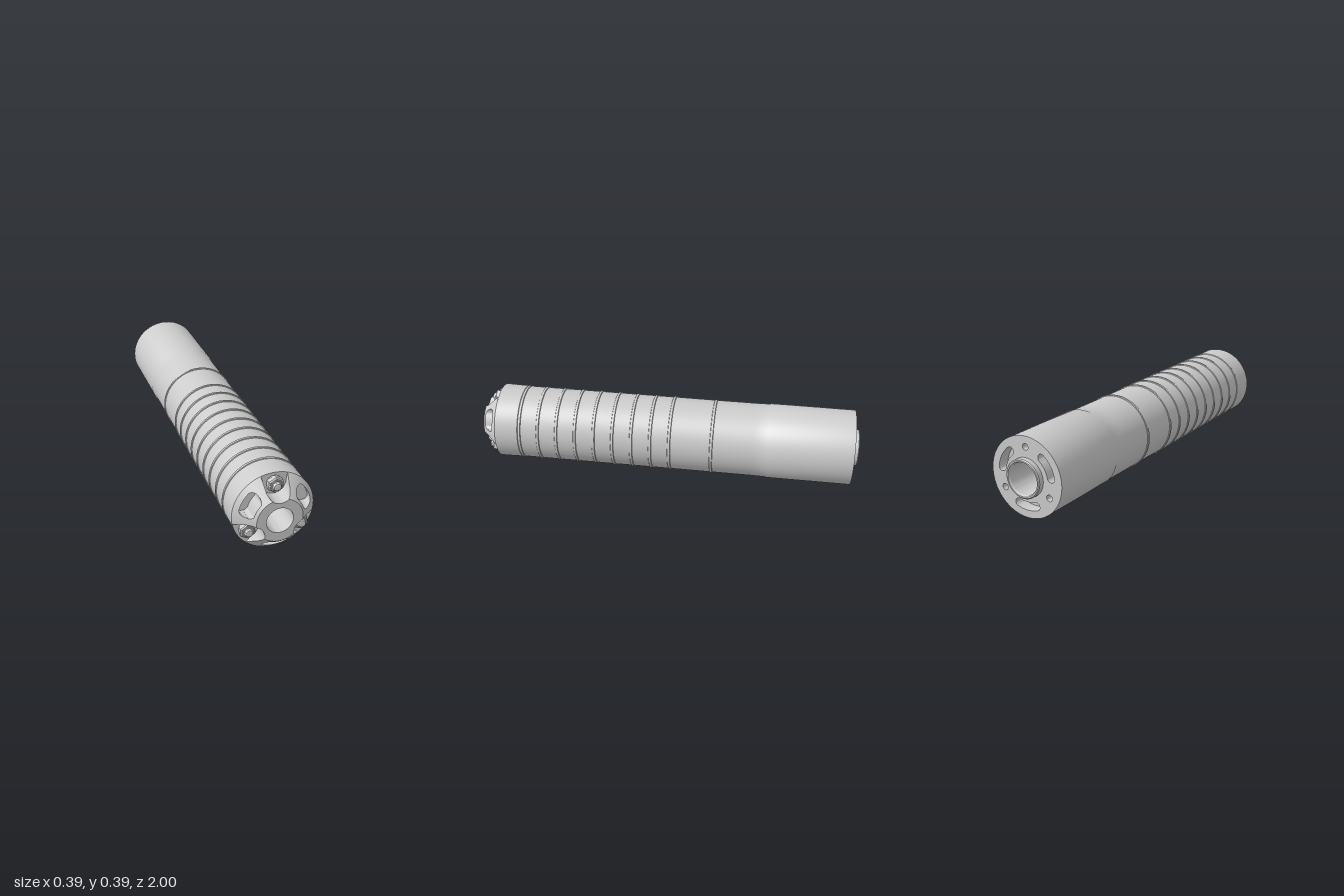
import * as THREE from 'three';
import { toCreasedNormals } from 'three/addons/utils/BufferGeometryUtils.js';

const R = 0.197, BODY_R = 0.193, BORE = 0.064, BOLT_R = 0.146;
const FACE_R = 0.11, RIM_Z = 0.912;
const THIRD = Math.PI * 2 / 3;
const material = new THREE.MeshStandardMaterial({ color: 0xcccccc });

function add(parent, geometry, name) {
  const mesh = new THREE.Mesh(toCreasedNormals(geometry, 0.5), material);
  mesh.name = name;
  parent.add(mesh);
  return mesh;
}

// Turned part along z from [radius, z] points
function turned(points, segments = 96) {
  return new THREE.LatheGeometry(points.map(p => new THREE.Vector2(p[0], p[1])), segments).rotateX(Math.PI / 2);
}

// Angle from the nearest of three spokes, the first one at angle "start"
function fromSpoke(angle, start) {
  const t = (angle - start) / THIRD;
  return Math.abs(t - Math.round(t)) * THIRD;
}

// Radial span of a curved slot with rounded ends
function slotSpan(phi, r0, r1, halfAngle, corner) {
  const edge = (halfAngle - phi) * (r0 + r1) / 2;
  if (edge <= 0) return null;
  const inset = edge < corner ? corner - Math.sqrt(corner ** 2 - (corner - edge) ** 2) : 0;
  return [r0 + inset, r1 - inset];
}

// Radial span of a round hole on the bolt circle
function holeSpan(phi, radius) {
  const d = radius ** 2 - (BOLT_R * Math.sin(phi)) ** 2;
  if (d <= 0) return null;
  const mid = BOLT_R * Math.cos(phi);
  return [mid - Math.sqrt(d), mid + Math.sqrt(d)];
}

// Bolt recess: round inner end, sides flaring to the rim
function recessSpan(phi) {
  const span = holeSpan(phi, 0.057);
  if (!span) return null;
  const slope = Math.sin(phi) - 0.15 * Math.cos(phi);
  const side = slope > 0 ? (0.057 - 0.15 * BOLT_R) / slope : R;
  return [span[0], Math.min(R, Math.max(side, span[1]))];
}

// End face swept by angle; cut(angle) gives [inner, outer, floor z] or null
function endFace(inner, height, cut) {
  const steps = 720, positions = [], index = [], n = 7;
  for (let j = 0; j <= steps; j++) {
    const angle = j / steps * Math.PI * 2;
    const c = cut(angle);
    const a = c ? c[0] : 0.14, b = c ? c[1] : 0.14;
    const floorA = c ? c[2] : height(a);
    const profile = [
      [inner, height(inner)], [Math.min(FACE_R, a), height(Math.min(FACE_R, a))],
      [a, height(a)], [a, floorA], [b, floorA], [b, height(b)], [R, height(R)],
    ];
    for (const [r, z] of profile) positions.push(r * Math.cos(angle), r * Math.sin(angle), z);
    if (j === steps) break;
    for (let i = 0; i < n - 1; i++) {
      const p = j * n + i, q = p + n;
      index.push(p, p + 1, q + 1, p, q + 1, q);
    }
  }
  const g = new THREE.BufferGeometry();
  g.setAttribute('position', new THREE.Float32BufferAttribute(positions, 3));
  g.setIndex(index);
  return g;
}

export function createModel() {
  const model = new THREE.Group();
  const tube = new THREE.Group();
  tube.name = 'suppressorTube';
  tube.position.y = R;
  model.add(tube);

  // Outer shell: thicker rear sleeve, slimmer front, thin raised rings
  const shell = [[R, -0.97], [R, -0.53], [0.1945, -0.525], [BODY_R, -0.45]];
  const rings = [-0.24];
  for (let i = 0; i < 9; i++) rings.push(-0.02 + i * 0.1);
  for (const z of rings) {
    shell.push([BODY_R, z - 0.008], [R, z - 0.006], [R, z + 0.006], [BODY_R, z + 0.008]);
  }
  shell.push([0.195, 0.79], [R, RIM_Z]);
  add(tube, turned(shell), 'outerShell');

  // Bore, open at both ends
  add(tube, turned([[BORE, 1], [BORE, -0.8], [0.078, -0.8], [0.078, -0.99]]), 'bore');

  // Conical front cap with bolt recesses and curved pockets
  const cone = r => r <= FACE_R ? 1 : 1 - (r - FACE_R) / (R - FACE_R) * (1 - RIM_Z);
  add(tube, endFace(BORE, cone, angle => {
    const recess = recessSpan(fromSpoke(angle, Math.PI / 2));
    if (recess) return [...recess, RIM_Z];
    const slot = slotSpan(fromSpoke(angle, -Math.PI / 2), 0.122, 0.176, 0.4, 0.025);
    return slot && [...slot, 0.9];
  }), 'frontCap');

  // Flat rear face with bolt holes and curved slots
  const rear = endFace(0.09, () => 0.97, angle => {
    const hole = holeSpan(fromSpoke(angle, Math.PI / 2), 0.016);
    if (hole) return [...hole, 0.9];
    const slot = slotSpan(fromSpoke(angle, -Math.PI / 2), 0.12, 0.16, 0.5, 0.019);
    return slot && [...slot, 0.91];
  });
  add(tube, rear.rotateY(Math.PI), 'rearFace');

  // Rear collar
  add(tube, turned([[0.078, -0.99], [0.083, -1], [0.09, -1], [0.095, -0.995], [0.095, -0.97]]), 'rearCollar');

  // Three bolts with washers and hex nuts
  for (let i = 0; i < 3; i++) {
    const angle = Math.PI / 2 + i * THIRD;
    const bolt = new THREE.Group();
    bolt.name = 'bolt' + (i + 1);
    bolt.position.set(BOLT_R * Math.cos(angle), BOLT_R * Math.sin(angle), RIM_Z);
    add(bolt, turned([[0.036, 0], [0.036, 0.005], [0, 0.005]], 32), 'washer');
    const nut = add(bolt, turned([[0.04, 0.005], [0.04, 0.026], [0.034, 0.031], [0, 0.031]], 6), 'hexNut');
    nut.rotation.z = i * 0.1;
    add(bolt, turned([[0.028, 0.03], [0.026, 0.034], [0.021, 0.034], [0.021, 0.042],
      [0.017, 0.048], [0.01, 0.051], [0, 0.052]], 32), 'boltTip');
    tube.add(bolt);
  }
  return model;
}
